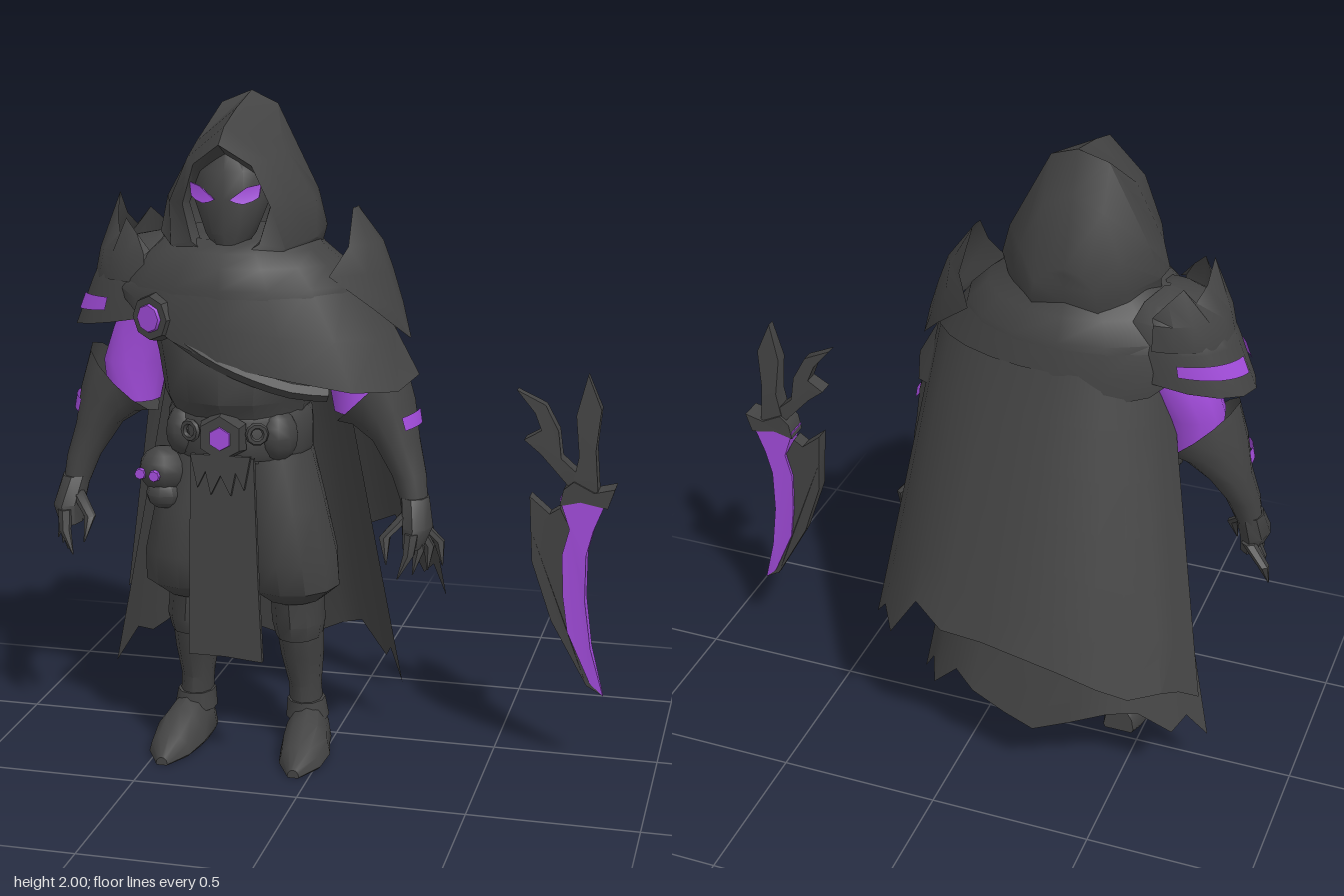
import * as THREE from 'three';
import { toCreasedNormals } from 'three/addons/utils/BufferGeometryUtils.js';

const dark = new THREE.MeshStandardMaterial({ color: 0x434343, side: THREE.DoubleSide });
dark.name = 'dark cloth';
const purple = new THREE.MeshStandardMaterial({ color: 0xa24cdb, side: THREE.DoubleSide });
purple.name = 'purple glow';

const { lerp } = THREE.MathUtils;

function add(parent, name, geo, mat = dark, pos = [0, 0, 0], rot = [0, 0, 0]) {
  const m = new THREE.Mesh(toCreasedNormals(geo, 0.75), mat);
  m.name = name;
  m.position.set(...pos);
  m.rotation.set(...rot);
  parent.add(m);
  return m;
}

// Skin over rows of [x, y, z] points
function loft(rows, wrap = true, cap = true) {
  const n = rows[0].length, pos = rows.flat(2), idx = [];
  for (let i = 0; i < rows.length - 1; i++)
    for (let j = 0; j < (wrap ? n : n - 1); j++) {
      const a = i * n + j, b = i * n + (j + 1) % n;
      idx.push(a, b, b + n, a, b + n, a + n);
    }
  if (wrap && cap)
    for (const i of [0, rows.length - 1]) {
      const c = pos.length / 3;
      for (let k = 0; k < 3; k++) pos.push(rows[i].reduce((s, p) => s + p[k], 0) / n);
      for (let j = 0; j < n; j++) {
        const a = i * n + j, b = i * n + (j + 1) % n;
        i ? idx.push(a, b, c) : idx.push(b, a, c);
      }
    }
  const g = new THREE.BufferGeometry();
  g.setAttribute('position', new THREE.Float32BufferAttribute(pos, 3));
  g.setIndex(idx);
  g.computeVertexNormals();
  return g;
}

// Level ellipse arc, optionally tilted sideways; angle 0 is the front, 90 degrees is +x
const arc = ([x, y, z, rx, rz, tilt = 0], t0, t1, n = 10) => Array.from({ length: n + 1 }, (_, j) => {
  const t = lerp(t0, t1, j / n);
  return [x + rx * Math.sin(t), y + tilt * Math.sin(t), z + rz * Math.cos(t)];
});
const ring = (r, n = 12) => arc(r, 0, Math.PI * 2, n).slice(0, n);
const rings = (list, n = 12, cap = true) => loft(list.map(r => ring(r, n)), true, cap);
const arcs = (list, t0, t1) => loft(list.map(r => arc(r, t0, t1)), false);

// Flat outline with a thickness
const plate = (pts, depth) => new THREE.ExtrudeGeometry(
  new THREE.Shape(pts.map(p => new THREE.Vector2(...p))), { depth, bevelEnabled: false });

function warp(geo, rule) {
  const p = geo.attributes.position;
  for (let i = 0; i < p.count; i++) p.setZ(i, rule(p.getX(i), p.getY(i), p.getZ(i)));
  geo.computeVertexNormals();
  return geo;
}

const disc = (r, h, n = 8) => new THREE.CylinderGeometry(r * 0.85, r, h, n).rotateX(Math.PI / 2);

// Ragged sheet hanging around the back; top and bottom are [right rx, left rx, centre z, rz]
function sheet(topY, top, bottom, hem, ripple) {
  const rows = [];
  for (let i = 0; i <= 6; i++) {
    const v = i / 6, [right, left, zc, rz] = top.map((t, k) => lerp(t, bottom[k], v));
    rows.push(hem.map((y, j) => {
      const a = lerp(-1.45, 1.45, j / (hem.length - 1)), f = 1 + ripple * v * (j % 2 ? -1 : 1);
      return [(a < 0 ? right : left) * Math.sin(a) * f, lerp(topY, y, v), zc - rz * Math.cos(a) * f];
    }));
  }
  return loft(rows, false);
}

// Pointed shoulder leaf, rows of [y, x, half width]
const leaf = list => loft(list.map(([y, x, w]) => [-1, -0.6, -0.2, 0.2, 0.6, 1].map(u =>
  [x - 0.15 * (u * w / 0.17) ** 2, y, 0.09 + u * w])), false);

function buildHead(g) {
  const half = [
    [[0, 1.84, .29], [.08, 1.79, .28], [.12, 1.70, .26], [.09, 1.60, .265], [.02, 1.55, .28]],
    [[0, 1.88, .37], [.085, 1.82, .335], [.13, 1.70, .30], [.10, 1.595, .315], [.02, 1.545, .335]],
    [[0, 1.925, .31], [.12, 1.83, .28], [.185, 1.70, .25], [.17, 1.58, .29], [.05, 1.525, .35]],
    [[0, 1.965, .18], [.13, 1.86, .16], [.225, 1.70, .14], [.235, 1.60, .18], [.15, 1.54, .29]],
    [[0, 2.0, .02], [.085, 1.965, .04], [.21, 1.72, .05], [.24, 1.62, .07], [.235, 1.58, .10]],
    [[0, 1.88, -.025], [.09, 1.83, -.015], [.15, 1.70, -.035], [.17, 1.60, -.02], [.18, 1.54, 0]],
    [[0, 1.68, -.085], [.05, 1.66, -.08], [.09, 1.62, -.08], [.10, 1.57, -.075], [.10, 1.52, -.06]],
  ];
  half.push(half[6].map(([, y, z]) => [0, y, z]));
  add(g, 'hood', loft(half.map(h => [...h.slice(1).reverse().map(([x, y, z]) => [-x, y, z]), ...h]), false));
  add(g, 'face', rings([[0, 1.55, .27, .025, .04], [0, 1.62, .25, .075, .08], [0, 1.72, .24, .115, .09],
    [0, 1.80, .23, .105, .09], [0, 1.86, .22, .04, .08]]));
  for (const s of [1, -1]) {
    const eye = plate([[.022, 1.722], [.04, 1.714], [.06, 1.71], [.085, 1.718], [.10, 1.728], [.105, 1.765], [.07, 1.758], [.045, 1.74]], 0.008);
    const m = add(g, 'eye', warp(eye, (x, y, z) => z + .252 + .085 * Math.sqrt(1 - (x / .125) ** 2)), purple);
    m.scale.x = s;
  }
}

function buildCloth(g) {
  add(g, 'collar', rings([[0, 1.42, .13, .375, .265], [0, 1.47, .13, .36, .265], [0, 1.53, .14, .30, .235],
    [0, 1.57, .14, .25, .215], [0, 1.60, .12, .22, .18]], 16));
  // Shoulder cape hangs lower on the left arm
  const hem = [1.26, 1.22, 1.18, 1.17, 1.20, 1.17, 1.20, 1.25, 1.28, 1.29, 1.31, 1.36, 1.42, 1.42, 1.38, 1.32];
  const top = ring([0, 1.47, .13, .355, .26], 16);
  const low = hem.map((y, j) => {
    const t = j / 8 * Math.PI, s = Math.sin(t);
    return [s * (s > 0 ? .53 : .37), y, .13 + .285 * Math.cos(t)];
  });
  const mid = top.map((p, j) => p.map((v, k) => lerp(v, low[j][k], .5) +
    (k === 2 ? .01 * Math.cos(j / 8 * Math.PI) : k === 0 ? .015 * Math.sin(j / 8 * Math.PI) : 0)));
  add(g, 'shoulderCape', loft([low, mid, top], true, false));
  const fold = new THREE.CatmullRomCurve3([[-.18, 1.36, .35], [0, 1.265, .392], [.2, 1.19, .362], [.3, 1.175, .32]]
    .map(p => new THREE.Vector3(...p)));
  add(g, 'capeFold', new THREE.TubeGeometry(fold, 10, .026, 6));
  add(g, 'longCape', sheet(1.38, [.28, .44, .10, .25], [.48, .555, -.14, .275],
    [.37, .42, .45, .43, .48, .52, .56, .57, .57, .62, .45, .50, .42], .02));
  add(g, 'underCape', sheet(1.25, [.24, .28, .10, .18], [.485, .435, -.04, .25],
    [.15, .25, .22, .29, .30, .24, .20, .22, .27, .30, .20, .25, .16], .03));
  // Brooch
  const b = new THREE.Group();
  b.name = 'brooch';
  b.position.set(-.2, 1.38, .355);
  b.rotation.y = -.4;
  add(b, 'broochRim', disc(.075, .05));
  add(b, 'broochGem', disc(.046, .02), purple, [0, 0, .024]);
  g.add(b);
}

function buildBody(g) {
  add(g, 'torso', rings([[0, .95, .17, .20, .165], [0, 1.08, .17, .20, .18], [0, 1.14, .18, .22, .225],
    [0, 1.25, .17, .24, .235], [0, 1.38, .15, .28, .22], [0, 1.5, .14, .22, .18]], 14));
  add(g, 'belt', rings([[0, .96, .17, .21, .18], [0, .98, .17, .22, .19], [0, 1.08, .17, .218, .19],
    [0, 1.1, .17, .205, .18]], 16));
  add(g, 'tabard', plate([[-.11, .37], [0, .37], [.115, .36], [.105, .6], [.095, .98], [-.095, .98]], .018), dark, [0, 0, .36]);
  // Buckle and hanging prongs
  add(g, 'buckle', disc(.078, .04, 6), dark, [0, 1.04, .375]);
  add(g, 'buckleGem', disc(.04, .02, 6), purple, [0, 1.04, .39]);
  add(g, 'bucklePlate', plate([[-.09, .99], [-.07, .89], [-.045, .94], [-.03, .87], [0, .93], [.03, .87], [.045, .94], [.07, .89], [.09, .99]], .015), dark, [0, 0, .38]);
  for (const s of [1, -1]) {
    add(g, 'beltRing', new THREE.TorusGeometry(.025, .01, 6, 10), dark, [.1 * s, 1.05, .355], [0, .4 * s, 0]);
    add(g, 'beltPouch', new THREE.SphereGeometry(1, 10, 8).scale(.06, .08, .07), dark, [.14 * s, 1.03, .27]);
  }
  // Skull charm
  add(g, 'skullCharm', new THREE.SphereGeometry(1, 10, 8).scale(.075, .07, .07), dark, [-.205, .91, .29]);
  add(g, 'skullJaw', new THREE.SphereGeometry(1, 8, 6).scale(.055, .045, .045), dark, [-.2, .84, .31]);
  for (const x of [-.26, -.212]) add(g, 'skullEye', disc(.018, .012), purple, [x, .905, x < -.23 ? .345 : .361]);
}

function buildLeg(g) {
  add(g, 'trouserLeg', rings([[.155, .50, .15, .09, .10], [.155, .55, .17, .145, .15], [.15, .65, .18, .145, .165],
    [.13, .8, .18, .13, .16], [.105, .95, .17, .115, .15], [.10, 1.02, .17, .09, .14]]));
  add(g, 'shin', rings([[.18, .05, .09, .05, .06], [.172, .2, .088, .05, .06], [.168, .3, .105, .065, .078],
    [.165, .4, .12, .072, .09], [.165, .52, .13, .075, .10]], 10));
  add(g, 'kneeCuff', rings([[.165, .37, .13, .07, .09], [.165, .42, .135, .08, .105], [.16, .49, .135, .078, .105],
    [.16, .53, .14, .085, .11]], 10));
  const sole = [[.18, .025, .09, .05], [.185, .07, .13, .065], [.19, .14, .14, .072], [.20, .2, .115, .078],
    [.205, .29, .07, .065], [.205, .37, .025, .018]];
  add(g, 'boot', loft(sole.map(([x, z, h, r]) => Array.from({ length: 12 }, (_, j) => {
    const t = -j / 12 * Math.PI * 2;
    return [x + r * Math.sin(t), Math.max(0, h * (Math.cos(t) + .15) / 1.15), z];
  }))));
  add(g, 'ankleCuff', rings([[.18, .09, .09, .066, .07], [.176, .15, .09, .058, .066]], 10));
}

function buildArm(g) {
  add(g, 'upperArm', rings([[.35, 1.08, .11, .08, .085], [.345, 1.2, .10, .10, .10], [.30, 1.3, .09, .115, .11],
    [.25, 1.4, .09, .12, .12]]), purple);
  add(g, 'forearm', rings([[.525, .82, .16, .04, .05], [.505, .9, .145, .052, .06], [.46, 1.0, .12, .072, .085],
    [.42, 1.08, .11, .095, .105, .04], [.38, 1.14, .11, .102, .107, .10]], 12, false));
  add(g, 'forearmMark', arcs([[.443, 1.03, .115, .092, .103, .02], [.427, 1.062, .112, .101, .108, .03]], .7, 1.75), purple);
  add(g, 'palm', rings([[.53, .70, .20, .032, .065], [.54, .76, .19, .047, .075], [.525, .84, .16, .044, .055]], 8));
  const claw = (a, b, c) => rings([[...c, .002, .002], [...b, .018, .018], [...a, .022, .022]], 6);
  for (let k = 0; k < 4; k++)
    add(g, 'clawFinger', claw([.535, .75, .13 + .04 * k], [.59 - .02 * k, .69, .11 + .052 * k], [.605 - .035 * k, .62, .13 + .052 * k]));
  add(g, 'clawThumb', claw([.515, .80, .2], [.455, .735, .25], [.465, .66, .28]));
}

function buildShoulderArmour(g) {
  add(g, 'shoulderPlate', arcs([[.27, 1.355, .1, .26, .17, -.05], [.27, 1.45, .1, .20, .165],
    [.26, 1.53, .1, .17, .15], [.25, 1.57, .1, .10, .10], [.25, 1.59, .1, .01, .01]], -.4, 3.54));
  // Upper plate with a jagged rim
  const rim = [1.55, 1.60, 1.64, 1.59, 1.63, 1.70, 1.63, 1.59, 1.64, 1.60, 1.55];
  const rimArc = arc([.25, 0, .1, .135, .14], 0, Math.PI).map(([x, , z], j) => [x, rim[j], z]);
  add(g, 'shoulderCrest', loft([arc([.26, 1.46, .1, .20, .17], 0, Math.PI), arc([.26, 1.54, .1, .182, .165], 0, Math.PI), rimArc], false));
  for (const [t0, t1, y] of [[.5, 1.15, 1.385], [1.75, 2.85, 1.4]])
    add(g, 'shoulderGlow', arcs([[.27, y, .1, .247, .178, -.03], [.27, y + .03, .1, .226, .178, -.01]], t0, t1), purple);
}

function buildDagger(g) {
  const cut = (name, pts, depth, mat) => add(g, name, warp(plate(pts, depth), (x, y, z) =>
    .1 + (z - depth / 2) * (y < .84 ? lerp(.15, 1, Math.sqrt(Math.max(0, y - .24) / .6)) : 1 - Math.max(0, y - 1) * 2.5)), mat);
  cut('bladeCore', [[.70, .85], [.73, .76], [.71, .68], [.715, .55], [.73, .44], [.80, .28], [.84, .24], [.80, .39],
    [.78, .54], [.78, .68], [.80, .76], [.835, .85]], .072, purple);
  cut('bladeBack', [[.61, .85], [.615, .75], [.62, .65], [.68, .47], [.79, .27], [.84, .24], [.80, .28], [.73, .44],
    [.715, .55], [.71, .68], [.73, .76], [.70, .82], [.67, .80]], .05, dark);
  cut('guard', [[.70, .83], [.76, .845], [.84, .83], [.86, .89], [.80, .875], [.74, .905], [.71, .88]], .075, dark);
  cut('longProng', [[.73, .87], [.81, .87], [.80, 1.0], [.812, 1.12], [.77, 1.22], [.74, 1.1], [.752, .98]], .06, dark);
  cut('curvedProng', [[.74, .87], [.78, .90], [.70, .97], [.69, 1.05], [.65, 1.125], [.565, 1.165], [.62, 1.10],
    [.64, 1.05], [.59, 1.02], [.64, .98]], .055, dark);
}

export function createModel() {
  const model = new THREE.Group();
  model.name = 'hoodedRogue';
  const figure = new THREE.Group();
  figure.name = 'figure';
  figure.position.x = -.25;
  model.add(figure);
  buildHead(figure);
  buildCloth(figure);
  buildBody(figure);
  for (const [side, s] of [['left', 1], ['right', -1]]) {
    const limbs = new THREE.Group();
    limbs.name = side + 'Limbs';
    limbs.scale.x = s;
    figure.add(limbs);
    buildLeg(limbs);
    buildArm(limbs);
    // Layered armour on the right shoulder, a single leaf on the left
    if (s < 0) buildShoulderArmour(limbs);
    else add(limbs, 'shoulderLeaf', leaf([[1.30, .495, .01], [1.40, .47, .11], [1.5, .44, .17], [1.58, .41, .12], [1.68, .335, .035]]));
  }
  const dagger = new THREE.Group();
  dagger.name = 'dagger';
  buildDagger(dagger);
  model.add(dagger);
  return model;
}
